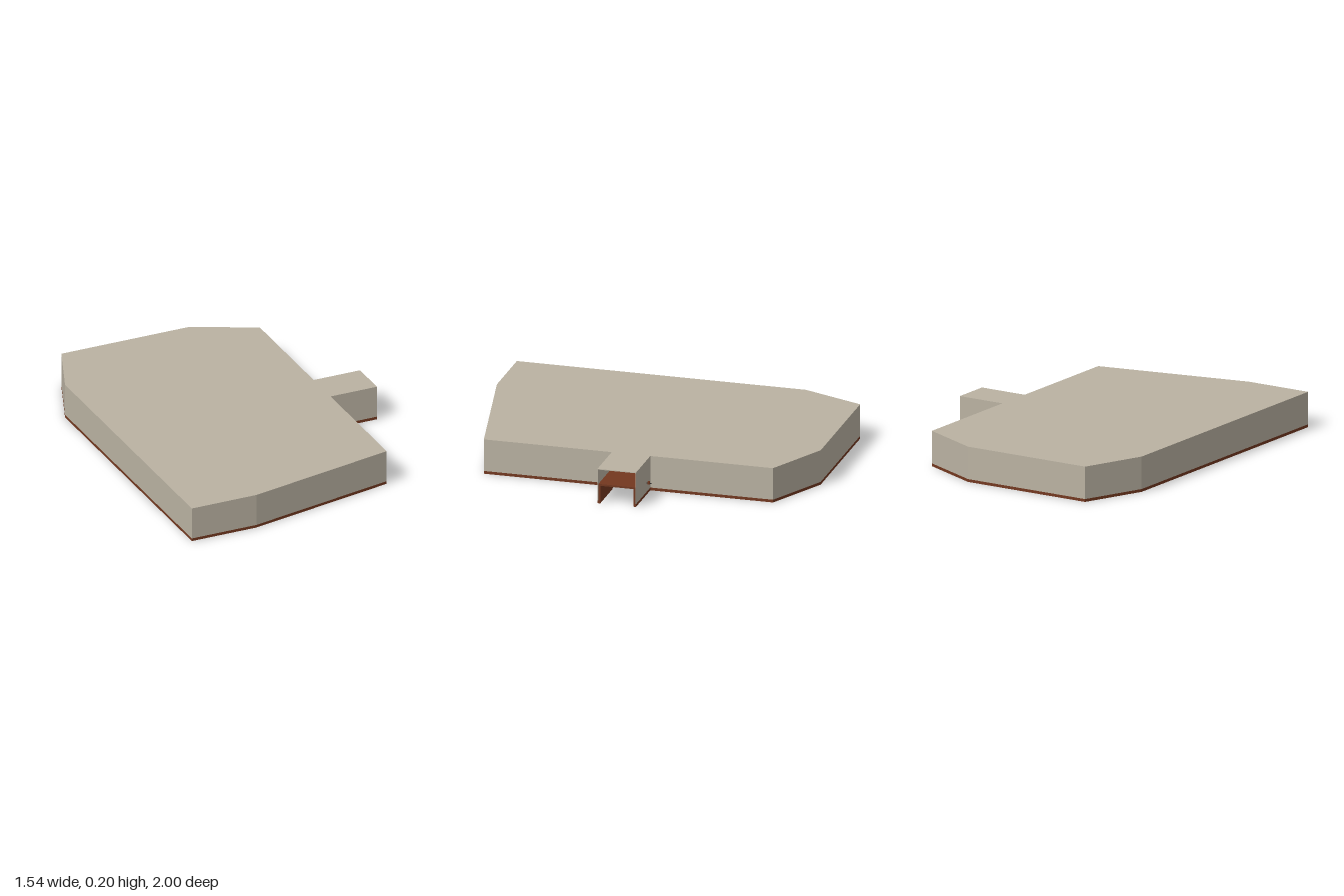
import * as THREE from 'three';

const paint = (name, color) => {
  const m = new THREE.MeshStandardMaterial({ color, side: THREE.DoubleSide });
  m.name = name;
  return m;
};

export function createModel() {
  const plaster = paint('plaster', 0xbab2a2);
  const wood = paint('redBrownWood', 0x73381f);
  const dark = paint('darkMetal', 0x2e2b28);
  const teal = paint('teal', 0x36606e);

  const model = new THREE.Group();
  model.name = 'hall';

  const add = (name, geometry, material, x, y, z, parent = model) => {
    const mesh = new THREE.Mesh(geometry, material);
    mesh.name = name;
    mesh.position.set(x, y, z);
    parent.add(mesh);
    return mesh;
  };
  // Box given by its minimum and maximum corners
  const box = (name, material, x0, x1, y0, y1, z0, z1, parent) =>
    add(name, new THREE.BoxGeometry(x1 - x0, y1 - y0, z1 - z0), material,
      (x0 + x1) / 2, (y0 + y1) / 2, (z0 + z1) / 2, parent);

  // Plan outline as x, z; the entrance end is the edge from [0.77, -0.13] to [0.77, 0.09]
  const plan = [
    [0.77, 0.09], [0.49, 0.09], [0.49, 0.82], [-0.38, 1], [-0.77, 1], [-0.77, -0.65],
    [-0.63, -1], [0.14, -1], [0.49, -0.83], [0.49, -0.13], [0.77, -0.13],
  ].map(([x, z]) => new THREE.Vector2(x, z));

  // Roof slab
  const roof = new THREE.ExtrudeGeometry(new THREE.Shape(plan), { depth: 0.004, bevelEnabled: false });
  roof.rotateX(Math.PI / 2);
  add('roof', roof, plaster, 0, 0.2, 0);

  // Walls and skirting along each edge, set inward; the entrance end stays open
  const run = (name, material, a, b, y0, y1, thick) => {
    const d = b.clone().sub(a);
    const length = d.length();
    d.normalize();
    const mid = a.clone().add(b).multiplyScalar(0.5);
    const mesh = add(name, new THREE.BoxGeometry(length, y1 - y0, thick), material,
      mid.x - d.y * thick / 2, (y0 + y1) / 2, mid.y + d.x * thick / 2);
    mesh.rotation.y = -Math.atan2(d.y, d.x);
  };
  for (let i = 0; i < plan.length - 1; i++) {
    run('wall', plaster, plan[i], plan[i + 1], 0.016, 0.2, 0.004);
    run('skirting', wood, plan[i], plan[i + 1], 0, 0.016, 0.012);
  }

  // Wooden lining of the entrance passage
  const entrance = new THREE.Group();
  entrance.name = 'entranceLining';
  model.add(entrance);
  box('liningLeft', wood, 0.53, 0.768, 0, 0.11, 0.074, 0.085, entrance);
  box('liningRight', wood, 0.53, 0.768, 0, 0.11, -0.125, -0.114, entrance);
  box('liningTop', wood, 0.53, 0.768, 0.102, 0.112, -0.125, 0.085, entrance);

  // Small bracket lamp outside the entrance
  box('lampBracket', dark, 0.562, 0.568, 0.066, 0.071, -0.158, -0.13);
  box('lampShade', wood, 0.56, 0.57, 0.062, 0.08, -0.15, -0.138);

  // Corner columns
  for (const [x, z] of [[0.3, 0.75], [0.3, -0.75], [-0.68, 0.69], [-0.69, -0.74]]) {
    add('column', new THREE.CylinderGeometry(0.011, 0.011, 0.196, 12), plaster, x, 0.098, z);
  }

  // Low platforms and counters
  for (const [x0, x1, z0, z1] of [
    [-0.46, -0.01, 0.25, 0.58], [-0.4, -0.01, 0.66, 0.82],
    [-0.37, 0.21, -0.67, -0.36], [-0.3, 0.21, -0.87, -0.74],
  ]) box('platform', plaster, x0, x1, 0.002, 0.026, z0, z1);

  // Rows of stools beside the counters
  const stool = (x, z) => {
    const g = new THREE.Group();
    g.name = 'stool';
    g.position.set(x, 0, z);
    model.add(g);
    const foot = new THREE.TorusGeometry(0.025, 0.005, 6, 16);
    foot.rotateX(Math.PI / 2);
    add('stoolFoot', foot, dark, 0, 0.006, 0, g);
    add('stoolStem', new THREE.CylinderGeometry(0.006, 0.006, 0.03, 8), dark, 0, 0.018, 0, g);
    add('stoolSeat', new THREE.CylinderGeometry(0.022, 0.022, 0.008, 16), dark, 0, 0.036, 0, g);
  };
  for (let i = 0; i < 3; i++) {
    stool(0.19 - i * 0.12, -0.92 - i * 0.015);
    stool(0.04 - i * 0.12, 0.617);
  }

  // Slatted units hung from the ceiling on rods
  for (const [x, z] of [[-0.066, -0.117], [-0.17, 0.31], [-0.61, -0.02], [-0.755, 0.56]]) {
    const unit = new THREE.Group();
    unit.name = 'hangingUnit';
    unit.position.set(x, 0, z);
    model.add(unit);
    box('rod', dark, -0.003, 0.003, 0.1, 0.197, -0.003, 0.003, unit);
    box('unitBack', dark, 0, 0.13, 0.1, 0.15, -0.003, 0.003, unit);
    for (let i = 0; i < 3; i++) {
      box('slat', dark, 0, 0.13, 0.1 + i * 0.022, 0.106 + i * 0.022, -0.015, 0.015, unit);
    }
  }

  // Ceiling vents
  for (const [x, z] of [[0.18, 0.05], [-0.41, 0.06], [0.2, 0.66], [-0.49, -0.72]]) {
    box('ceilingVent', dark, x - 0.03, x + 0.03, 0.188, 0.197, z - 0.015, z + 0.015);
  }

  // Teal furniture in the corner: wall panel, cabinet and bench
  box('wallPanel', teal, -0.765, -0.757, 0.05, 0.18, 0.71, 0.84);
  box('cabinet', teal, -0.7, -0.62, 0, 0.1, 0.79, 0.84);
  for (let i = 0; i < 3; i++) {
    box('cabinetShelf', dark, -0.705, -0.615, 0.02 + i * 0.03, 0.026 + i * 0.03, 0.785, 0.845);
  }
  box('benchSeat', teal, -0.66, -0.53, 0.03, 0.045, 0.85, 0.91);
  box('benchBack', teal, -0.66, -0.53, 0.03, 0.085, 0.905, 0.915);
  for (const x of [-0.655, -0.545]) box('benchLeg', dark, x, x + 0.01, 0, 0.03, 0.855, 0.905);

  return model;
}
